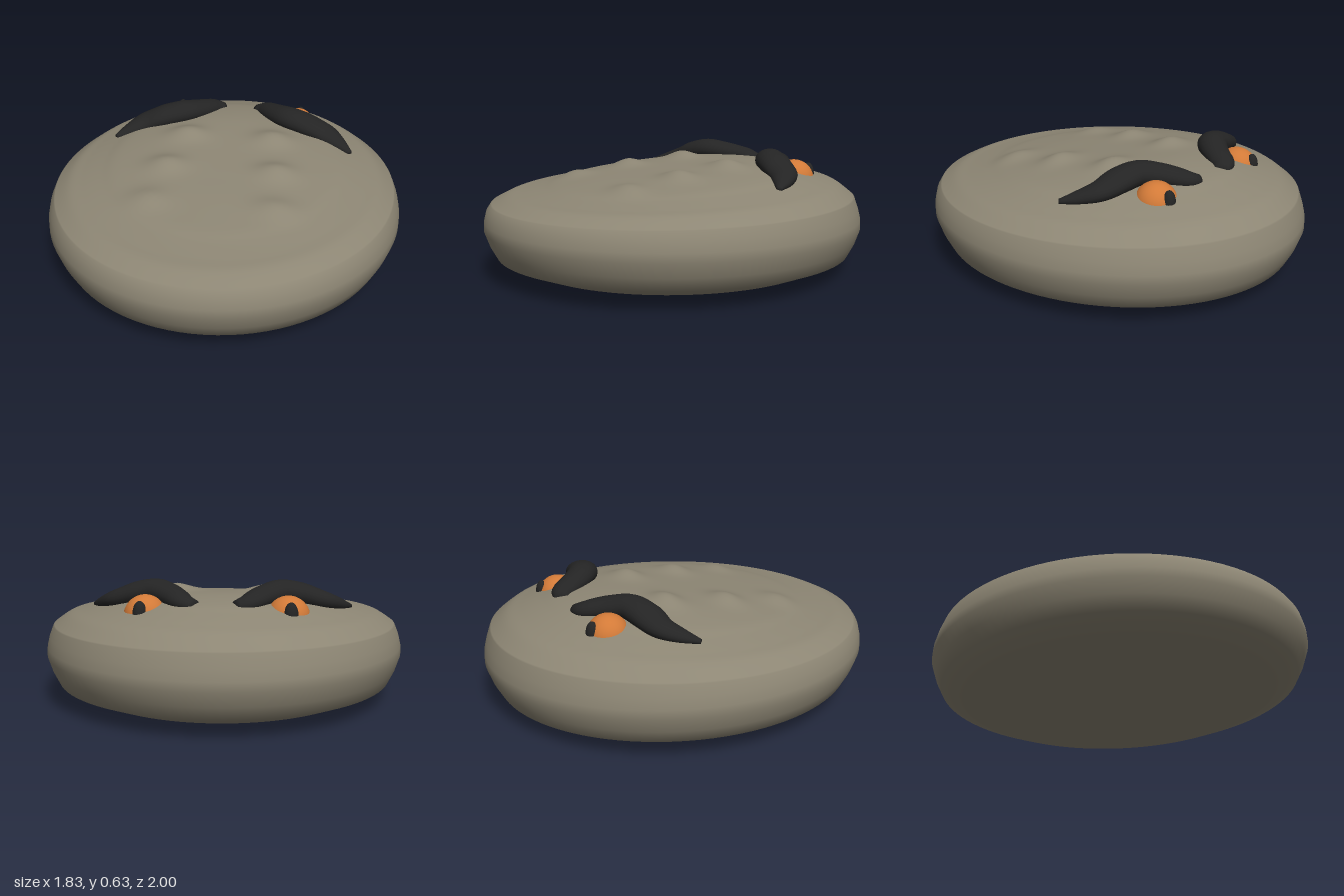
import * as THREE from 'three';

const mat = (name, color) => new THREE.MeshStandardMaterial({ name, color });

// Smooth skin over a list of closed rings (arrays of Vector3)
function skin(rings) {
  const n = rings[0].length, index = [];
  for (let i = 0; i < rings.length - 1; i++) {
    for (let j = 0; j < n; j++) {
      const k = (j + 1) % n;
      const a = i * n + j, b = i * n + k, c = a + n, d = b + n;
      index.push(a, b, c, b, d, c);
    }
  }
  const geo = new THREE.BufferGeometry().setFromPoints(rings.flat());
  geo.setIndex(index);
  geo.computeVertexNormals();
  return geo;
}

// Flattened pebble body: elliptical rings, tilted top with three pairs of bumps
function bodyGeometry() {
  const v = (x, y) => new THREE.Vector2(x, y);
  const rim = [v(0.001, 0.003), v(0.2, 0.003), v(0.4, 0.006), v(0.6, 0.02), v(0.8, 0.046),
    v(0.94, 0.1), v(0.975, 0.165), v(1, 0.235), v(0.998, 0.28), v(0.985, 0.33)];
  const top = new THREE.SplineCurve([v(0.963, 0.378), v(0.88, 0.428), v(0.8, 0.45), v(0.7, 0.475),
    v(0.6, 0.5), v(0.4, 0.526), v(0.2, 0.534), v(0.001, 0.535)]).getPoints(56);
  const bumps = [[0.23, -0.17, 0.036], [0.28, 0.14, 0.034], [0.31, 0.43, 0.026]];
  const profile = [...rim, ...top];
  return skin(profile.map((p, row) => Array.from({ length: 96 }, (_, j) => {
    const a = j / 96 * Math.PI * 2;
    const x = 0.915 * p.x * Math.sin(a), z = p.x * Math.cos(a);
    let y = p.y;
    if (row >= rim.length) {
      y -= 0.1 * z * (1 - p.x * p.x);
      for (const [bx, bz, h] of bumps) {
        y += h * Math.exp(-(((Math.abs(x) - bx) / 0.1) ** 2) - ((z - bz) / 0.075) ** 2);
      }
    } else if (row > 2) y += 0.01 * z;
    return new THREE.Vector3(x, y, z);
  })));
}

// Thick wavy brow: elliptical sections swept along a curve
function browGeometry(side) {
  // x, y, z, half width, half height
  const stations = [
    [0.09, 0.525, -0.59, 0.036, 0.03], [0.15, 0.54, -0.56, 0.06, 0.045],
    [0.22, 0.56, -0.47, 0.07, 0.055], [0.3, 0.572, -0.395, 0.078, 0.06],
    [0.4, 0.555, -0.36, 0.083, 0.06], [0.5, 0.525, -0.33, 0.073, 0.05],
    [0.575, 0.5, -0.27, 0.048, 0.035], [0.64, 0.483, -0.205, 0.014, 0.012]];
  const path = new THREE.CatmullRomCurve3(stations.map(s => new THREE.Vector3(side * s[0], s[1], s[2])));
  const size = new THREE.CatmullRomCurve3(stations.map(s => new THREE.Vector3(s[3], s[4], 0)));
  const up = new THREE.Vector3(0, 1, 0);
  const ring = (t, k) => {
    const c = path.getPoint(t), r = size.getPoint(t);
    const out = up.clone().cross(path.getTangent(t)).normalize();
    return Array.from({ length: 20 }, (_, j) => {
      const a = j / 20 * Math.PI * 2;
      return c.clone().addScaledVector(out, k * r.x * Math.cos(a)).addScaledVector(up, k * r.y * Math.sin(a));
    });
  };
  const rings = [ring(0, 0.001)];
  for (let i = 0; i <= 32; i++) rings.push(ring(i / 32, 1));
  rings.push(ring(1, 0.001));
  return skin(rings);
}

export function createModel() {
  const stone = mat('stone', 0x8d8674);
  const orange = mat('eyeOrange', 0xd27a38);
  const black = mat('black', 0x242424);

  const model = new THREE.Group();
  model.name = 'stoneCreature';
  const add = (name, geo, material) => {
    const mesh = new THREE.Mesh(geo, material);
    mesh.name = name;
    model.add(mesh);
    return mesh;
  };

  add('body', bodyGeometry(), stone);

  // Eyes, slit pupils and brows, mirrored
  for (const [label, side] of [['left', 1], ['right', -1]]) {
    add(label + 'Eye', new THREE.SphereGeometry(0.102, 32, 24), orange)
      .position.set(side * 0.333, 0.47, -0.525);
    const pupil = add(label + 'Pupil', new THREE.SphereGeometry(1, 20, 16), black);
    pupil.scale.set(0.033, 0.06, 0.03);
    pupil.position.set(side * 0.345, 0.492, -0.608);
    add(label + 'Brow', browGeometry(side), black);
  }
  return model;
}
